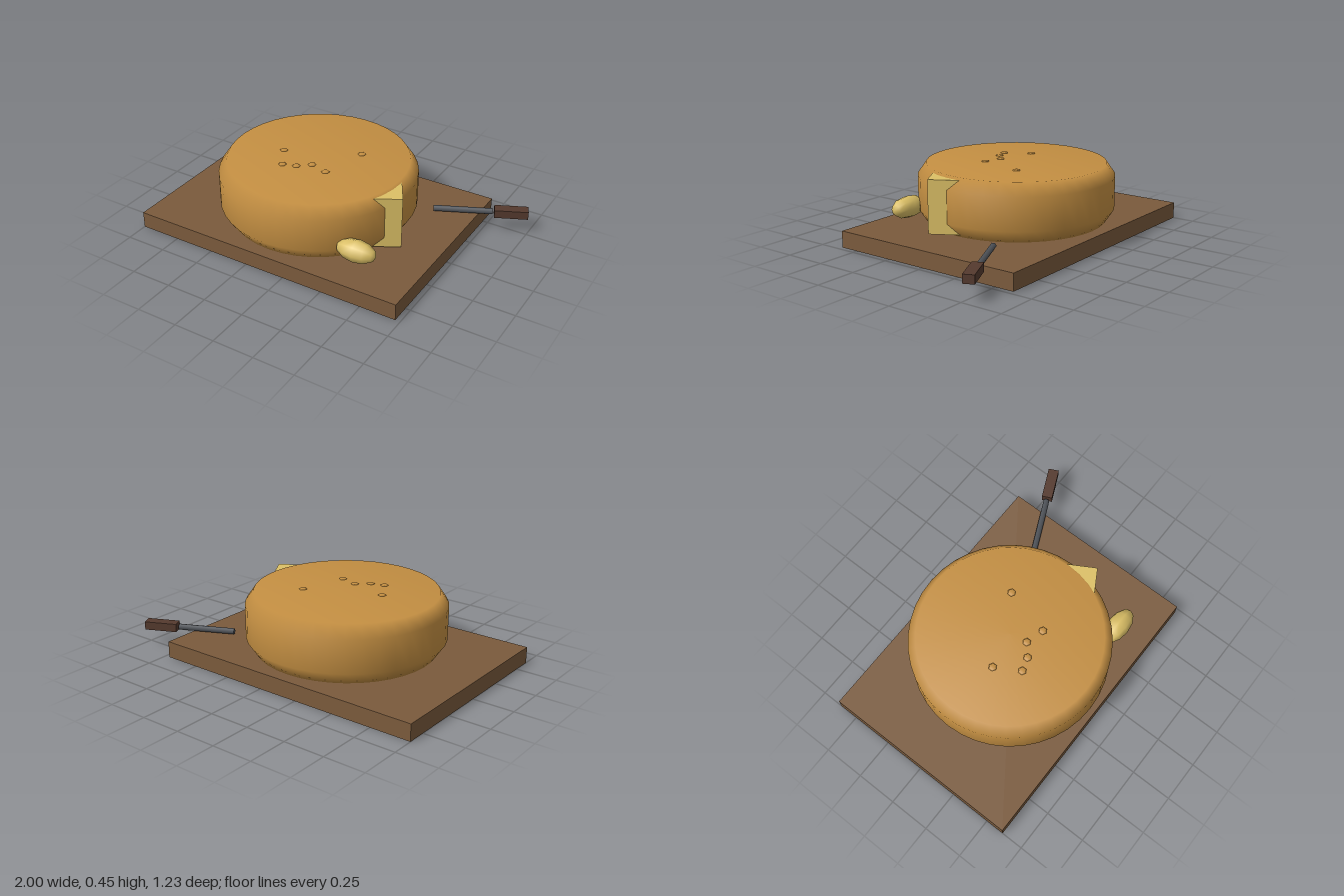
import * as THREE from 'three';

const mat = (name, color) => {
  const m = new THREE.MeshStandardMaterial({ color });
  m.name = name;
  return m;
};

export function createModel() {
  const wood = mat('boardWood', 0x7a5a3c);
  const crust = mat('crust', 0xc48f42);
  const crumb = mat('crumb', 0xdcc066);
  const steel = mat('darkSteel', 0x50545a);
  const grip = mat('gripWood', 0x553a2e);

  const model = new THREE.Group();
  const add = (parent, name, geometry, material, x, y, z) => {
    const mesh = new THREE.Mesh(geometry, material);
    mesh.name = name;
    mesh.position.set(x, y, z);
    parent.add(mesh);
    return mesh;
  };

  // Cutting board
  add(model, 'board', new THREE.BoxGeometry(1.72, 0.1, 1.23), wood, -0.14, 0.05, 0);

  // Round loaf with softly shaded, chamfered rims
  const profile = [[0, 0.1], [0.54, 0.1], [0.59, 0.175], [0.59, 0.372], [0.54, 0.445], [0, 0.445]]
    .map(([r, y]) => new THREE.Vector2(r, y));
  add(model, 'loaf', new THREE.LatheGeometry(profile, 40), crust, -0.14, 0, 0);

  // Flat seeds on the top
  const seedGeo = new THREE.SphereGeometry(0.025, 6, 4);
  seedGeo.scale(1, 0.3, 1);
  seedGeo.rotateY(Math.PI / 6);
  const seeds = new THREE.Group();
  seeds.name = 'seeds';
  model.add(seeds);
  [[0.065, -0.15], [-0.355, 0.045], [-0.12, 0.105], [-0.01, 0.135], [-0.19, 0.165], [-0.27, 0.19]]
    .forEach(([x, z]) => add(seeds, 'seed', seedGeo, crust, x, 0.445, z));

  // Cut slice standing against the loaf, outer corner at (0.5, 0.15)
  const sliceGeo = new THREE.BoxGeometry(0.24, 0.318, 0.26);
  sliceGeo.translate(-0.12, 0, -0.13);
  const slice = add(model, 'slice', sliceGeo, crumb, 0.5, 0.272, 0.147);
  slice.rotation.y = Math.PI / 6;

  // Small torn piece of bread
  const pieceGeo = new THREE.SphereGeometry(0.067, 8, 6);
  pieceGeo.scale(1, 1.85, 1);
  pieceGeo.rotateZ(Math.PI / 2);
  add(model, 'breadPiece', pieceGeo, crumb, 0.364, 0.2, 0.42);

  // Knife laid across the board edge
  const knife = new THREE.Group();
  knife.name = 'knife';
  knife.position.set(0.895, 0.125, -0.495);
  knife.rotation.y = THREE.MathUtils.degToRad(25);
  model.add(knife);
  add(knife, 'handle', new THREE.BoxGeometry(0.2, 0.05, 0.065), grip, 0, 0, 0);
  const bladeGeo = new THREE.CylinderGeometry(0.018, 0.018, 0.35, 6);
  bladeGeo.rotateZ(Math.PI / 2);
  add(knife, 'blade', bladeGeo, steel, -0.285, 0, 0);

  return model;
}
